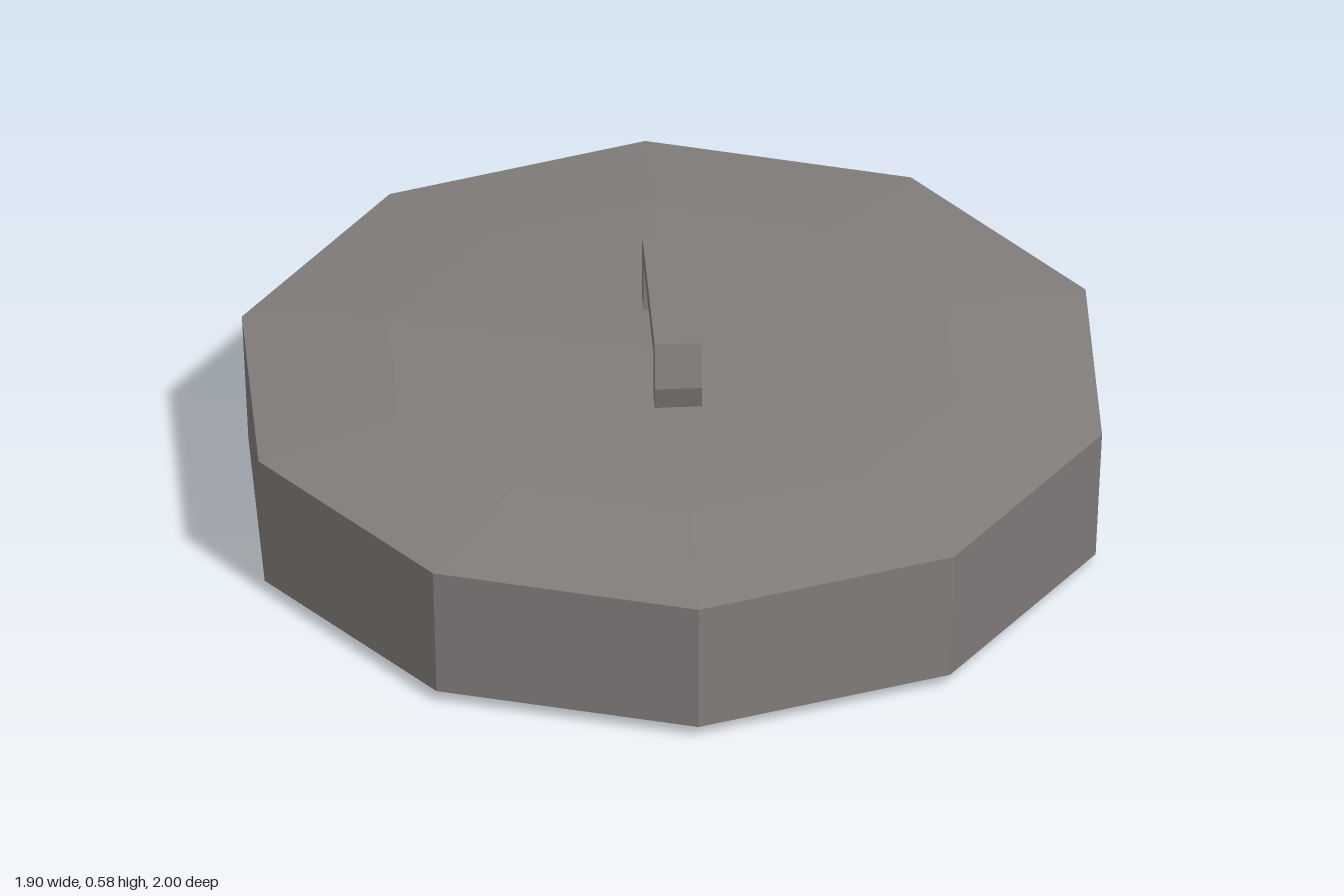
import * as THREE from 'three';

export function createModel() {
  const group = new THREE.Group();
  const greyMetal = new THREE.MeshStandardMaterial({ color: 0x827d7b, flatShading: true });
  greyMetal.name = 'warmGreyMetal';

  // Ten-sided hollow lid: inner ceiling and wall, bevelled rim, outer wall, shallow dome
  const profile = [
    [0, 0.37], [0.63, 0.35], [0.945, 0.31], [0.915, 0],
    [0.985, 0.03], [1, 0.35], [0.66, 0.395], [0, 0.42],
  ].map(([r, y]) => new THREE.Vector2(r, y));
  const lid = new THREE.Mesh(new THREE.LatheGeometry(profile, 10), greyMetal);
  lid.name = 'lid';
  group.add(lid);

  // Bracket handle: side outline mirrored front to back, extruded across x
  const half = [[0.18, 0.4], [0.23, 0.4], [0.25, 0.47], [0.23, 0.577]];
  const outline = [
    ...half,
    ...half.map(([z, y]) => [-z, y]).reverse(),
    [-0.18, 0.527], [0.18, 0.527],
  ].map(([z, y]) => new THREE.Vector2(z, y));
  const width = 0.106;
  const handleGeometry = new THREE.ExtrudeGeometry(new THREE.Shape(outline), { depth: width, bevelEnabled: false });
  handleGeometry.translate(0, 0, -width / 2).rotateY(-Math.PI / 2);
  const handle = new THREE.Mesh(handleGeometry, greyMetal);
  handle.name = 'handle';
  group.add(handle);

  return group;
}
